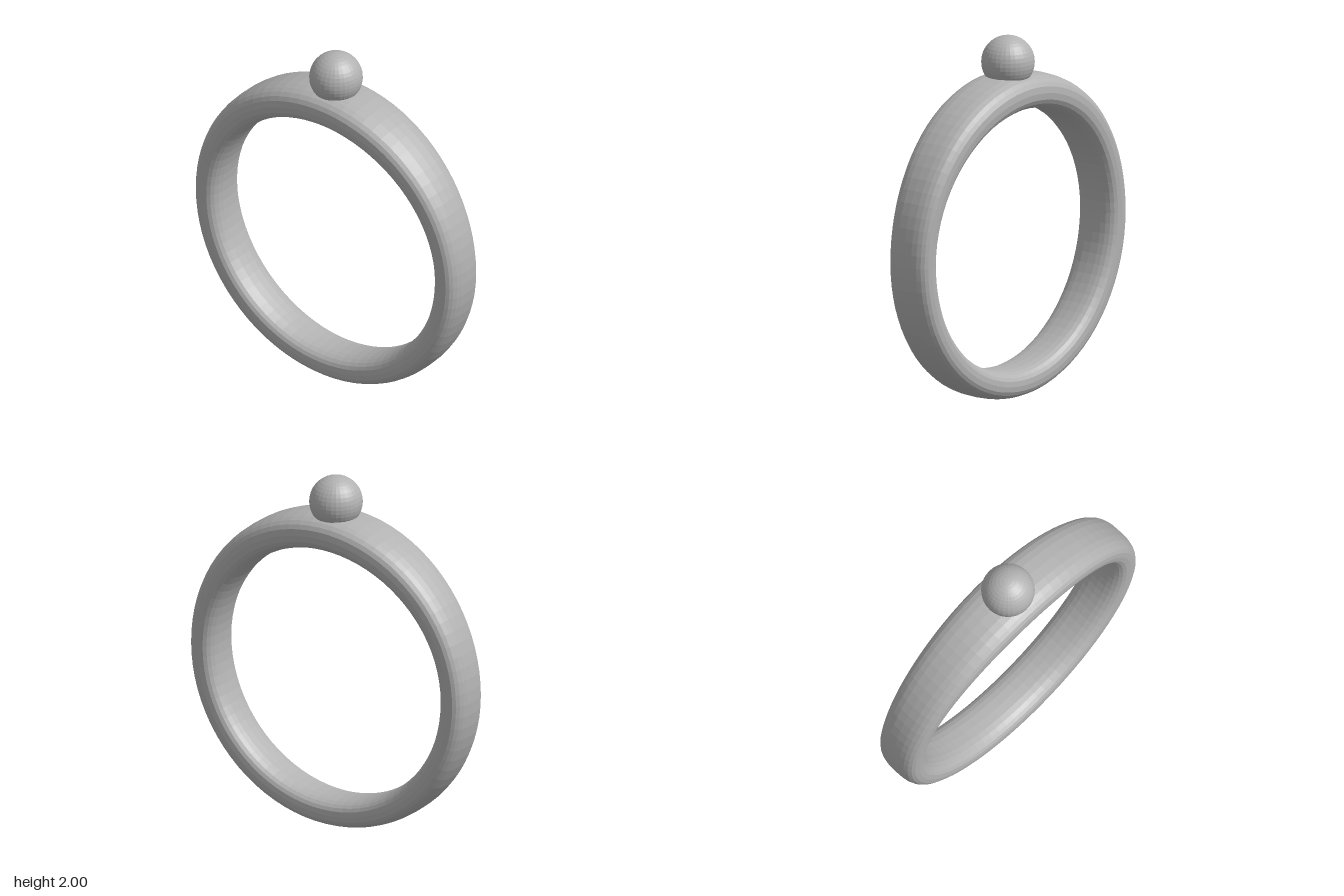
import * as THREE from 'three';

const CENTER_Y = 0.885;
const AROUND = 80;   // facets round the finger
const SECTION = 24;  // facets round the band's cross-section

// Signed power, used for the soft rectangular cross-section
const soft = (v) => Math.sign(v) * Math.abs(v) ** (2 / 2.7);

// Closed band that grows wider and thicker towards the top
function bandGeometry() {
  const positions = [];
  const index = [];
  for (let i = 0; i < AROUND; i++) {
    const a = (i / AROUND) * Math.PI * 2;
    const swell = Math.max(Math.cos(a), 0) ** 2;
    const inner = 0.725 - 0.017 * swell;
    const outer = 0.885 + 0.022 * swell;
    const halfWidth = 0.133 + 0.04 * swell;
    for (let j = 0; j < SECTION; j++) {
      const p = (j / SECTION) * Math.PI * 2;
      const r = (inner + outer) / 2 + ((outer - inner) / 2) * soft(Math.cos(p));
      positions.push(r * Math.sin(a), CENTER_Y + r * Math.cos(a), halfWidth * soft(Math.sin(p)));

      const i2 = (i + 1) % AROUND;
      const j2 = (j + 1) % SECTION;
      const a0 = i * SECTION + j, a1 = i * SECTION + j2;
      const b0 = i2 * SECTION + j, b1 = i2 * SECTION + j2;
      index.push(a0, a1, b0, a1, b1, b0);
    }
  }
  const geometry = new THREE.BufferGeometry();
  geometry.setAttribute('position', new THREE.Float32BufferAttribute(positions, 3));
  geometry.setIndex(index);
  const faceted = geometry.toNonIndexed();
  faceted.computeVertexNormals();
  return faceted;
}

export function createModel() {
  const group = new THREE.Group();
  group.name = 'ring';
  const metal = new THREE.MeshStandardMaterial({ color: 0xb2b2b2, flatShading: true });
  metal.name = 'grey metal';

  const band = new THREE.Mesh(bandGeometry(), metal);
  band.name = 'band';

  // Round bead sunk slightly into the top of the band
  const bead = new THREE.Mesh(new THREE.SphereGeometry(0.145, 32, 20), metal);
  bead.name = 'bead';
  bead.position.y = 1.855;

  group.add(band, bead);
  return group;
}
